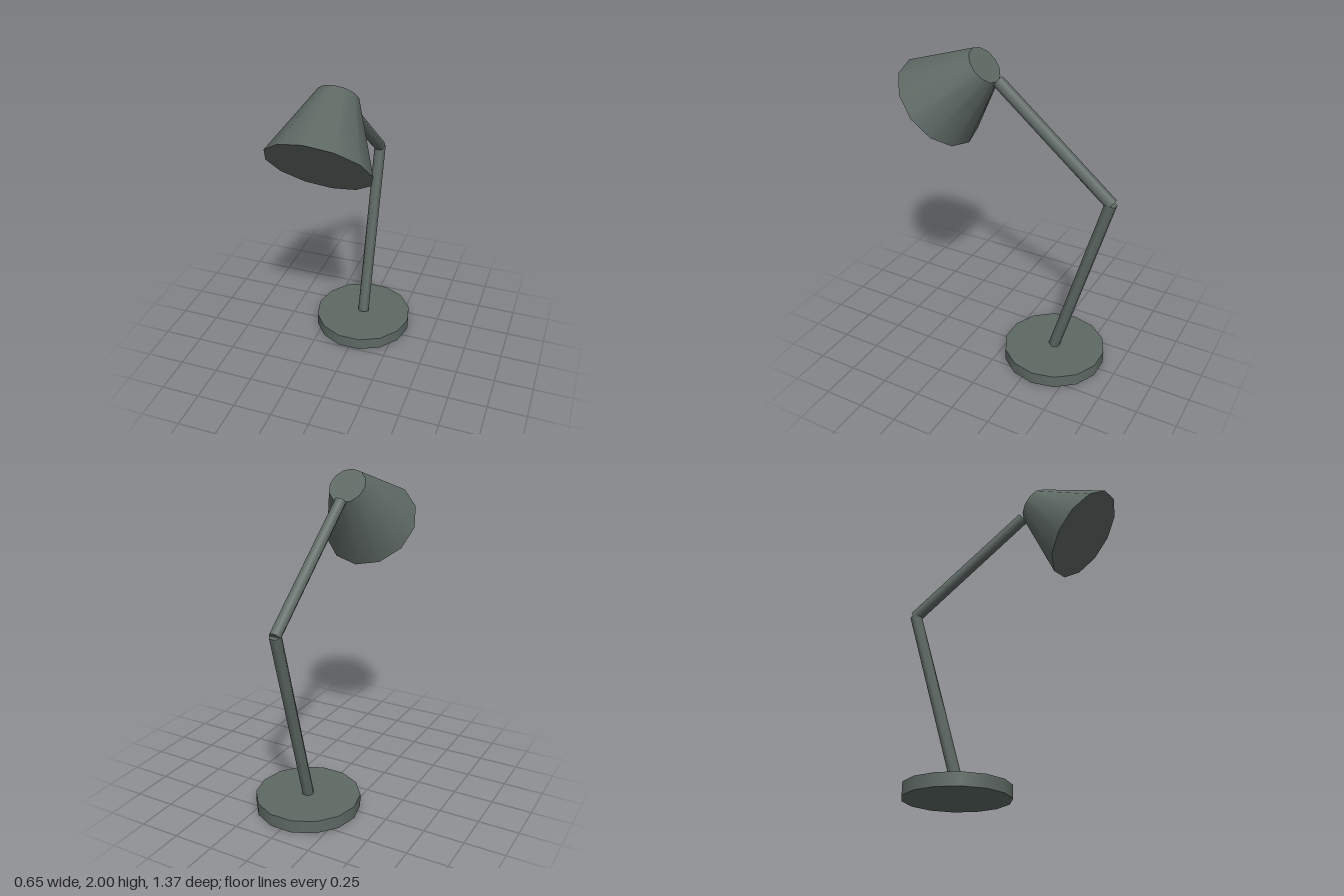
import * as THREE from 'three';

export function createModel() {
  const lamp = new THREE.Group();
  lamp.name = 'deskLamp';
  const paint = new THREE.MeshStandardMaterial({ color: 0x5e6964 });
  paint.name = 'greyGreenPaint';

  // Closed round part running between two [y, z] points in the x = 0 plane
  function addRod(name, from, to, radiusFrom, radiusTo, sides) {
    const dy = to[0] - from[0];
    const dz = to[1] - from[1];
    const geometry = new THREE.CylinderGeometry(
      radiusTo, radiusFrom, Math.hypot(dy, dz), sides, 1, false, Math.PI / 2);
    const mesh = new THREE.Mesh(geometry, paint);
    mesh.name = name;
    mesh.position.set(0, (from[0] + to[0]) / 2, (from[1] + to[1]) / 2);
    mesh.rotation.x = Math.atan2(dz, dy);
    lamp.add(mesh);
  }

  // Heavy round foot
  addRod('base', [0, -0.327], [0.08, -0.327], 0.325, 0.325, 14);

  // Two hexagonal arms meeting at the elbow
  addRod('lowerArm', [0.085, -0.327], [1.224, -0.65], 0.038, 0.038, 6);
  addRod('upperArm', [1.221, -0.655], [1.831, 0.082], 0.038, 0.038, 6);

  // Closed conical shade tilted down and forward
  addRod('shade', [1.628, 0.488], [1.912, 0.167], 0.304, 0.118, 12);

  return lamp;
}
